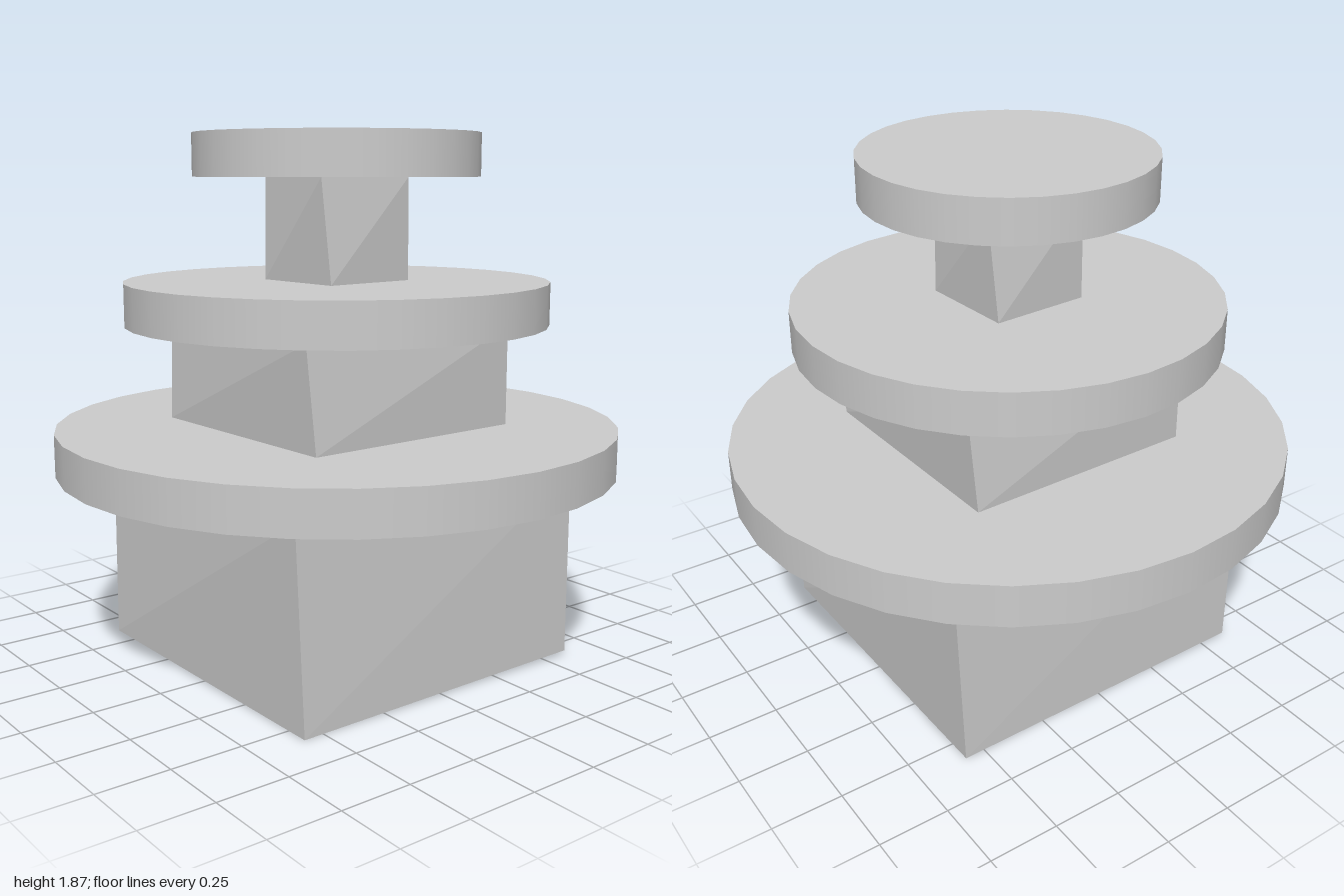
import * as THREE from 'three';
import { ConvexGeometry } from 'three/addons/geometries/ConvexGeometry.js';

const grey = new THREE.MeshStandardMaterial({ color: 0xcccccc });
grey.name = 'grey';

// Four corners: front right (x, z), then quarter turns around the axis
function corners(x, z, y) {
  const points = [];
  for (let i = 0; i < 4; i++) {
    points.push(new THREE.Vector3(x, y, z));
    [x, z] = [z, -x];
  }
  return points;
}

export function createModel() {
  const model = new THREE.Group();
  model.name = 'tieredStand';

  const add = (name, geometry, y = 0) => {
    const mesh = new THREE.Mesh(geometry, grey);
    mesh.name = name;
    mesh.position.y = y;
    model.add(mesh);
  };

  // Round plates
  [['lowerPlate', 1, 0.775], ['middlePlate', 0.75, 1.285], ['upperPlate', 0.503, 1.795]]
    .forEach(([name, radius, y]) => add(name, new THREE.CylinderGeometry(radius, radius, 0.15, 32), y));

  // Slightly twisted square blocks between the plates
  add('middleBlock', new ConvexGeometry([
    ...corners(0.44, 0.418, 0.85), ...corners(0.418, 0.44, 1.21)]));
  add('upperBlock', new ConvexGeometry([
    ...corners(0.19, 0.168, 1.36), ...corners(0.168, 0.192, 1.72)]));

  // Base block, with two opposite bottom corners a little raised
  add('baseBlock', new ConvexGeometry([
    new THREE.Vector3(0.585, 0, 0.573), new THREE.Vector3(0.59, 0.015, -0.597),
    new THREE.Vector3(-0.585, 0, -0.573), new THREE.Vector3(-0.585, 0.015, 0.597),
    ...corners(0.583, 0.604, 0.7)]));

  return model;
}
